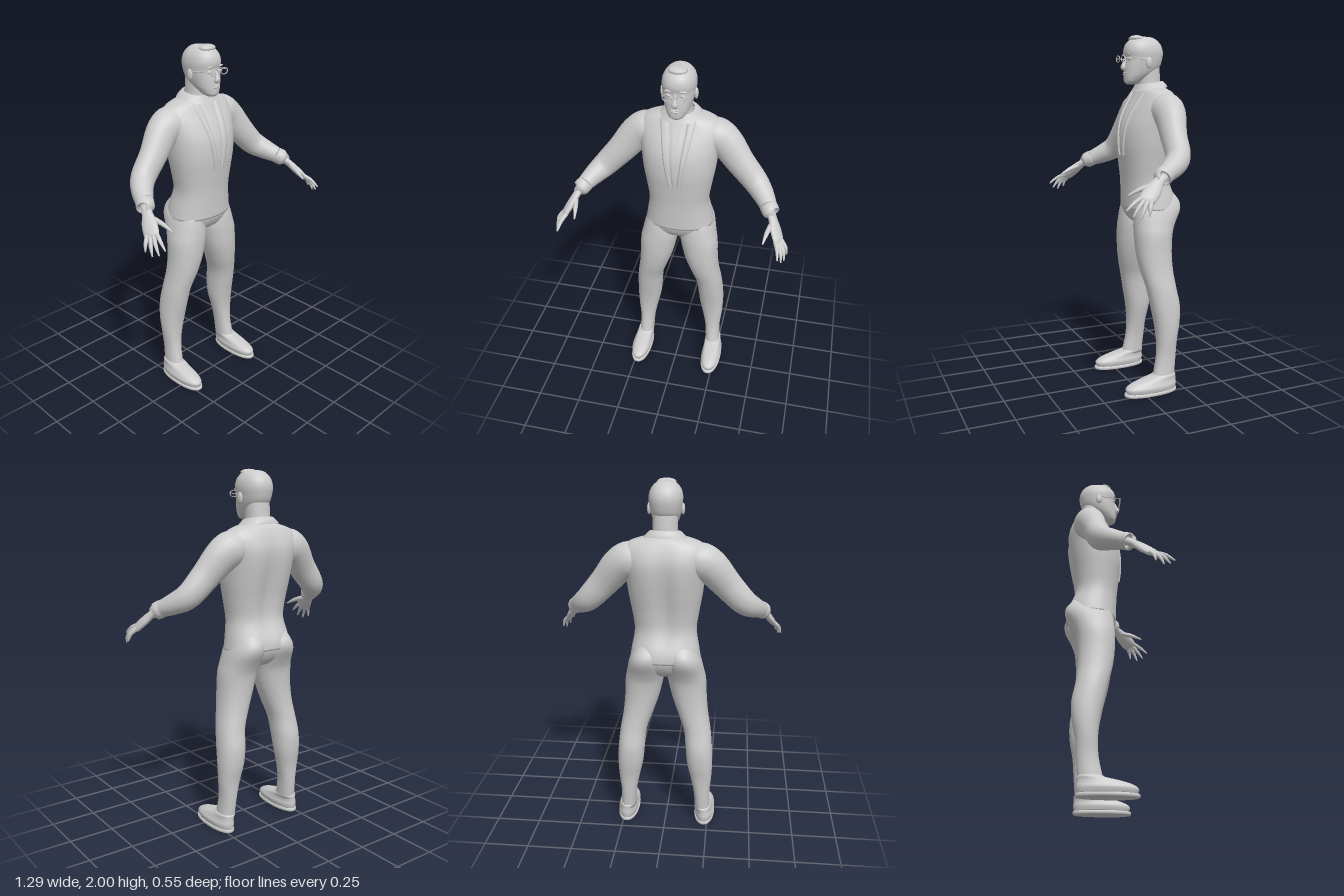
import * as THREE from 'three';

const V3 = (p) => new THREE.Vector3(...p);
const grey = new THREE.MeshStandardMaterial({ color: 0xcccccc, side: THREE.DoubleSide });
grey.name = 'light grey';

// Catmull-Rom subdivision of rows of numbers
function smooth(rows, k = 4) {
  const out = [], at = (i) => rows[Math.max(0, Math.min(rows.length - 1, i))];
  for (let i = 0; i < rows.length - 1; i++) {
    for (let s = 0; s < k; s++) {
      const t = s / k, [a, b, c, d] = [at(i - 1), at(i), at(i + 1), at(i + 2)];
      out.push(b.map((_, j) => {
        const cubic = 3 * (b[j] - c[j]) + d[j] - a[j];
        const square = 2 * a[j] - 5 * b[j] + 4 * c[j] - d[j];
        return b[j] + 0.5 * t * (c[j] - a[j] + t * (square + t * cubic));
      }));
    }
  }
  out.push(rows[rows.length - 1]);
  return out;
}

// Skin over rings of points; closed rings wrap round and may be capped
function skin(rings, closed = true, caps = closed) {
  const n = rings[0].length, pos = rings.flat(2), idx = [];
  for (let i = 0; i < rings.length - 1; i++) {
    for (let j = 0; j < (closed ? n : n - 1); j++) {
      const a = i * n + j, b = i * n + (j + 1) % n;
      idx.push(a, a + n, b, a + n, b + n, b);
    }
  }
  if (caps) {
    for (const i of [0, rings.length - 1]) {
      const c = pos.length / 3, mid = [0, 1, 2].map((k) => rings[i].reduce((s, p) => s + p[k], 0) / n);
      pos.push(...mid);
      for (let j = 0; j < n; j++) {
        const a = i * n + j, b = i * n + (j + 1) % n;
        idx.push(c, ...(i ? [b, a] : [a, b]));
      }
    }
  }
  const g = new THREE.BufferGeometry();
  g.setAttribute('position', new THREE.Float32BufferAttribute(pos, 3));
  g.setIndex(idx);
  g.computeVertexNormals();
  return g;
}

const pw = (v, e) => Math.sign(v) * Math.abs(v) ** e;

// Horizontal sections, bottom to top: [y, centre x, half width, front z, back z]
function stack(rows, n = 28, e = 0.9, caps = true, k = 4) {
  const rings = smooth(rows, k).map(([y, cx, w, f, b]) => Array.from({ length: n }, (_, j) => {
    const t = j / n * Math.PI * 2;
    return [cx + w * pw(Math.cos(t), e), y, (f + b) / 2 + (f - b) / 2 * pw(Math.sin(t), e)];
  }));
  return skin(rings, true, caps);
}

// Limb along a path: [x, y, z, radius along ref, radius across]
function limb(rows, ref, n = 16, k = 4) {
  const pts = smooth(rows, k);
  const rings = pts.map((p, i) => {
    const T = V3(pts[Math.min(i + 1, pts.length - 1)].slice(0, 3))
      .sub(V3(pts[Math.max(i - 1, 0)].slice(0, 3))).normalize();
    const U = V3(ref).addScaledVector(T, -V3(ref).dot(T)).normalize();
    const W = U.clone().cross(T);
    return Array.from({ length: n }, (_, j) => {
      const t = j / n * Math.PI * 2;
      return V3(p.slice(0, 3)).addScaledVector(U, p[3] * Math.cos(t))
        .addScaledVector(W, p[4] * Math.sin(t)).toArray();
    });
  });
  return skin(rings);
}

// Move vertices by a rule
function bend(g, rule) {
  const p = g.attributes.position, v = new THREE.Vector3();
  for (let i = 0; i < p.count; i++) {
    rule(v.fromBufferAttribute(p, i));
    p.setXYZ(i, v.x, v.y, v.z);
  }
  g.computeVertexNormals();
  return g;
}

function ball(x, y, z, rx, ry, rz) {
  return new THREE.SphereGeometry(1, 18, 12).scale(rx, ry, rz).translate(x, y, z);
}

export function createModel() {
  const model = new THREE.Group();
  const add = (name, geo) => {
    const m = new THREE.Mesh(geo, grey);
    m.name = name;
    model.add(m);
  };
  const both = (name, geo) => {
    add(name + 'Left', geo);
    const g = geo.clone().scale(-1, 1, 1), a = g.index.array;
    for (let i = 0; i < a.length; i += 3) [a[i], a[i + 1]] = [a[i + 1], a[i]];
    add(name + 'Right', g);
  };

  // Jacket body, with a hollow along the spine
  const body = [
    [1.04, 0, 0.196, 0.016, -0.268], [1.1, 0, 0.186, 0.018, -0.265], [1.2, 0, 0.17, 0.022, -0.23],
    [1.3, 0, 0.183, 0.032, -0.236], [1.4, 0, 0.2, 0.042, -0.255], [1.5, 0, 0.212, 0.035, -0.272],
    [1.58, 0, 0.224, 0.006, -0.275], [1.64, 0, 0.228, -0.028, -0.258], [1.68, 0, 0.2, -0.05, -0.238],
    [1.7, 0, 0.155, -0.06, -0.225], [1.715, 0, 0.1, -0.07, -0.21],
  ];
  add('jacketBody', bend(stack(body, 48, 0.88), (v) => {
    if (v.z < -0.15 && v.y > 1.06) {
      v.z += 0.03 * Math.exp(-((v.x / 0.05) ** 2)) * Math.sin(Math.min(1, (v.y - 1.06) / 0.64) * Math.PI);
    }
  }));

  // Trousers
  add('trouserSeat', stack([
    [0.945, 0, 0.09, -0.06, -0.19], [0.975, 0, 0.17, -0.02, -0.225], [1.02, 0, 0.198, 0.005, -0.25],
    [1.06, 0, 0.19, 0.012, -0.255], [1.1, 0, 0.18, 0.01, -0.25],
  ], 36));
  both('trouserLeg', stack([
    [0.085, 0.221, 0.044, -0.06, -0.19], [0.2, 0.215, 0.046, -0.085, -0.2], [0.3, 0.21, 0.06, -0.09, -0.208],
    [0.4, 0.201, 0.073, -0.08, -0.226], [0.5, 0.194, 0.076, -0.06, -0.23], [0.6, 0.183, 0.077, -0.04, -0.212],
    [0.7, 0.157, 0.086, -0.015, -0.202], [0.8, 0.135, 0.098, 0, -0.202], [0.9, 0.121, 0.107, 0.004, -0.212],
    [0.96, 0.11, 0.106, 0.002, -0.235], [1.03, 0.102, 0.098, -0.005, -0.272], [1.08, 0.096, 0.083, -0.02, -0.272],
    [1.13, 0.09, 0.06, -0.06, -0.235],
  ]));

  // Shoes
  both('shoeSole', stack([
    [0, 0.23, 0.053, 0.108, -0.194], [0.004, 0.23, 0.06, 0.118, -0.2],
    [0.018, 0.23, 0.06, 0.118, -0.2], [0.021, 0.23, 0.052, 0.105, -0.193],
  ], 32, 0.9, true, 2));
  both('shoeUpper', stack([
    [0.02, 0.23, 0.054, 0.106, -0.194], [0.045, 0.23, 0.06, 0.112, -0.198], [0.065, 0.229, 0.054, 0.085, -0.197],
    [0.082, 0.227, 0.05, 0.03, -0.196], [0.098, 0.224, 0.049, -0.045, -0.196], [0.106, 0.223, 0.045, -0.06, -0.19],
  ]));

  // Sleeves and cuffs
  both('sleeve', limb([
    [0.13, 1.6, -0.145, 0.085, 0.08], [0.19, 1.588, -0.148, 0.094, 0.098], [0.25, 1.55, -0.142, 0.083, 0.093],
    [0.33, 1.457, -0.12, 0.069, 0.08], [0.42, 1.36, -0.1, 0.064, 0.07], [0.475, 1.315, -0.045, 0.058, 0.058],
    [0.525, 1.276, 0.036, 0.043, 0.042],
  ], [0, 0, 1], 24));
  both('cuff', limb([
    [0.512, 1.286, 0.016, 0.042, 0.042], [0.514, 1.284, 0.02, 0.049, 0.047],
    [0.533, 1.268, 0.048, 0.048, 0.046], [0.536, 1.266, 0.051, 0.038, 0.036],
  ], [0, 0, 1], 24, 2));

  // Hands
  const across = [0.4, -0.2, -0.9];
  both('palm', limb([
    [0.525, 1.275, 0.035, 0.027, 0.022], [0.545, 1.248, 0.075, 0.029, 0.02], [0.567, 1.212, 0.115, 0.042, 0.02],
    [0.588, 1.175, 0.155, 0.043, 0.017], [0.595, 1.163, 0.165, 0.035, 0.01],
  ], across, 18));
  const fingers = {
    thumb: [[0.545, 1.235, 0.1], [0.527, 1.215, 0.165], [0.514, 1.185, 0.228]],
    indexFinger: [[0.575, 1.18, 0.18], [0.592, 1.158, 0.228], [0.6, 1.125, 0.272]],
    middleFinger: [[0.587, 1.172, 0.17], [0.61, 1.138, 0.212], [0.618, 1.095, 0.245]],
    ringFinger: [[0.597, 1.168, 0.157], [0.624, 1.128, 0.19], [0.632, 1.083, 0.21]],
    littleFinger: [[0.603, 1.168, 0.14], [0.632, 1.135, 0.16], [0.642, 1.098, 0.168]],
  };
  for (const [name, [a, b, c]] of Object.entries(fingers)) {
    const r = name === 'thumb' ? 0.015 : 0.012;
    both(name, limb([[...a, r, r], [...b, r * 0.85, r * 0.85], [...c, 0.004, 0.004]], across, 10));
  }

  // Lapels and shirt front lie on the chest
  const fine = smooth(body, 8);
  const chestZ = (x, y) => {
    const i = Math.max(1, fine.findIndex((r) => r[0] >= y)), [a, b] = [fine[i - 1], fine[i]];
    const [, , w, f, k] = a.map((v, j) => v + (b[j] - v) * (y - a[0]) / (b[0] - a[0]));
    const p = 2 / 0.88;
    return (f + k) / 2 + (f - k) / 2 * Math.max(0, 1 - Math.abs(x / w) ** p) ** (1 / p);
  };
  const panel = (x0, x1, lift) => skin(Array.from({ length: 15 }, (_, i) => {
    const t = i / 14, y = 1.34 + 0.36 * t;
    return Array.from({ length: 7 }, (_, j) => {
      const x = THREE.MathUtils.lerp(x1(t), x0(t), j / 6);
      return [x, y, chestZ(x, y) + (j % 6 ? lift : -0.004)];
    });
  }), false);
  const inner = (t) => 0.012 + 0.038 * t, outer = (t) => 0.036 + 0.064 * t;
  both('lapel', panel(inner, outer, 0.008));
  add('shirtFront', panel((t) => -inner(t), inner, 0.003));

  // Collar slopes down to the front
  add('collar', bend(stack([
    [1.705, 0, 0.118, -0.035, -0.228], [1.722, 0, 0.102, -0.045, -0.222], [1.742, 0, 0.078, -0.055, -0.206],
    [1.735, 0, 0.07, -0.062, -0.198],
  ], 32, 0.9, false), (v) => { v.y -= (v.z + 0.13) * 0.15; }));

  // Neck and head
  add('neck', stack([
    [1.69, 0, 0.075, -0.06, -0.2], [1.74, 0, 0.067, -0.06, -0.194],
    [1.79, 0, 0.066, -0.06, -0.19], [1.84, 0, 0.065, -0.06, -0.185],
  ]));
  add('head', stack([
    [1.733, 0, 0.022, 0.002, -0.045], [1.745, 0, 0.041, 0.016, -0.07], [1.77, 0, 0.058, 0.019, -0.11],
    [1.795, 0, 0.07, 0.019, -0.155], [1.83, 0, 0.08, 0.017, -0.19], [1.875, 0, 0.087, 0.012, -0.204],
    [1.91, 0, 0.089, 0.018, -0.207], [1.945, 0, 0.081, 0.01, -0.197], [1.972, 0, 0.062, -0.012, -0.175],
    [1.988, 0, 0.038, -0.04, -0.148], [1.993, 0, 0.012, -0.075, -0.11],
  ], 36));
  add('hairTuft', ball(0, 1.981, -0.052, 0.051, 0.019, 0.041));
  add('nose', limb([
    [0, 1.878, 0.006, 0.008, 0.01], [0, 1.845, 0.02, 0.01, 0.012],
    [0, 1.824, 0.028, 0.017, 0.013], [0, 1.814, 0.018, 0.014, 0.01],
  ], [1, 0, 0], 14));
  add('upperLip', ball(0, 1.793, 0.018, 0.024, 0.004, 0.009));
  add('lowerLip', ball(0, 1.785, 0.018, 0.02, 0.005, 0.009));
  both('eye', ball(0.034, 1.868, 0.001, 0.015, 0.008, 0.012));
  both('eyebrow', ball(0.036, 1.893, 0.008, 0.023, 0.005, 0.008));
  both('ear', ball(0.089, 1.848, -0.09, 0.011, 0.031, 0.019));

  // Glasses
  both('glassesRim', new THREE.TorusGeometry(0.024, 0.0028, 8, 28).scale(1, 0.72, 1).translate(0.035, 1.87, 0.042));
  const bar = (a, b) => new THREE.TubeGeometry(new THREE.LineCurve3(V3(a), V3(b)), 1, 0.0026, 6);
  add('glassesBridge', bar([-0.012, 1.873, 0.042], [0.012, 1.873, 0.042]));
  both('glassesTemple', bar([0.06, 1.873, 0.042], [0.092, 1.866, -0.085]));

  return model;
}
